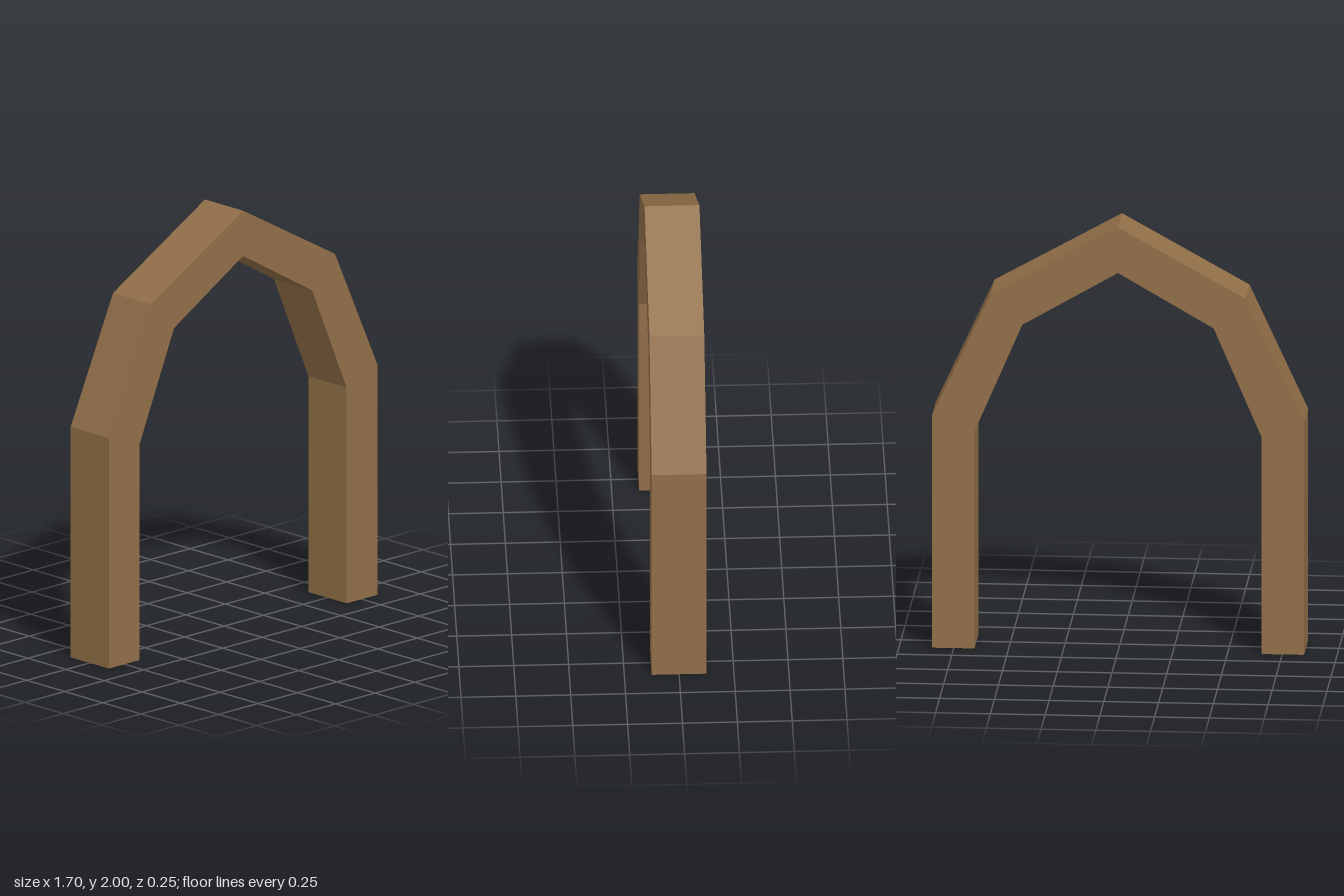
import * as THREE from 'three';

export function createModel() {
  const group = new THREE.Group();
  group.name = 'archway';

  const wood = new THREE.MeshStandardMaterial({ color: 0x916f48 });
  wood.name = 'brown wood';

  // Right half of the arch, from the foot up to the peak
  const outer = [[0.85, 0], [0.85, 1.095], [0.582, 1.675], [0, 2]];
  const inner = [[0.655, 0], [0.655, 1.025], [0.437, 1.532], [0, 1.785]];
  const mirrored = (pts) => pts.slice(0, -1).reverse().map(([x, y]) => [-x, y]);

  // Up the outside, over the peak, and back along the inside
  const outline = [
    ...outer, ...mirrored(outer),
    ...[...inner, ...mirrored(inner)].reverse(),
  ].map(([x, y]) => new THREE.Vector2(x, y));

  // Faceted frame of constant depth
  const depth = 0.25;
  const geometry = new THREE.ExtrudeGeometry(new THREE.Shape(outline), { depth, bevelEnabled: false });
  geometry.translate(0, 0, -depth / 2);

  const arch = new THREE.Mesh(geometry, wood);
  arch.name = 'archFrame';
  group.add(arch);
  return group;
}
